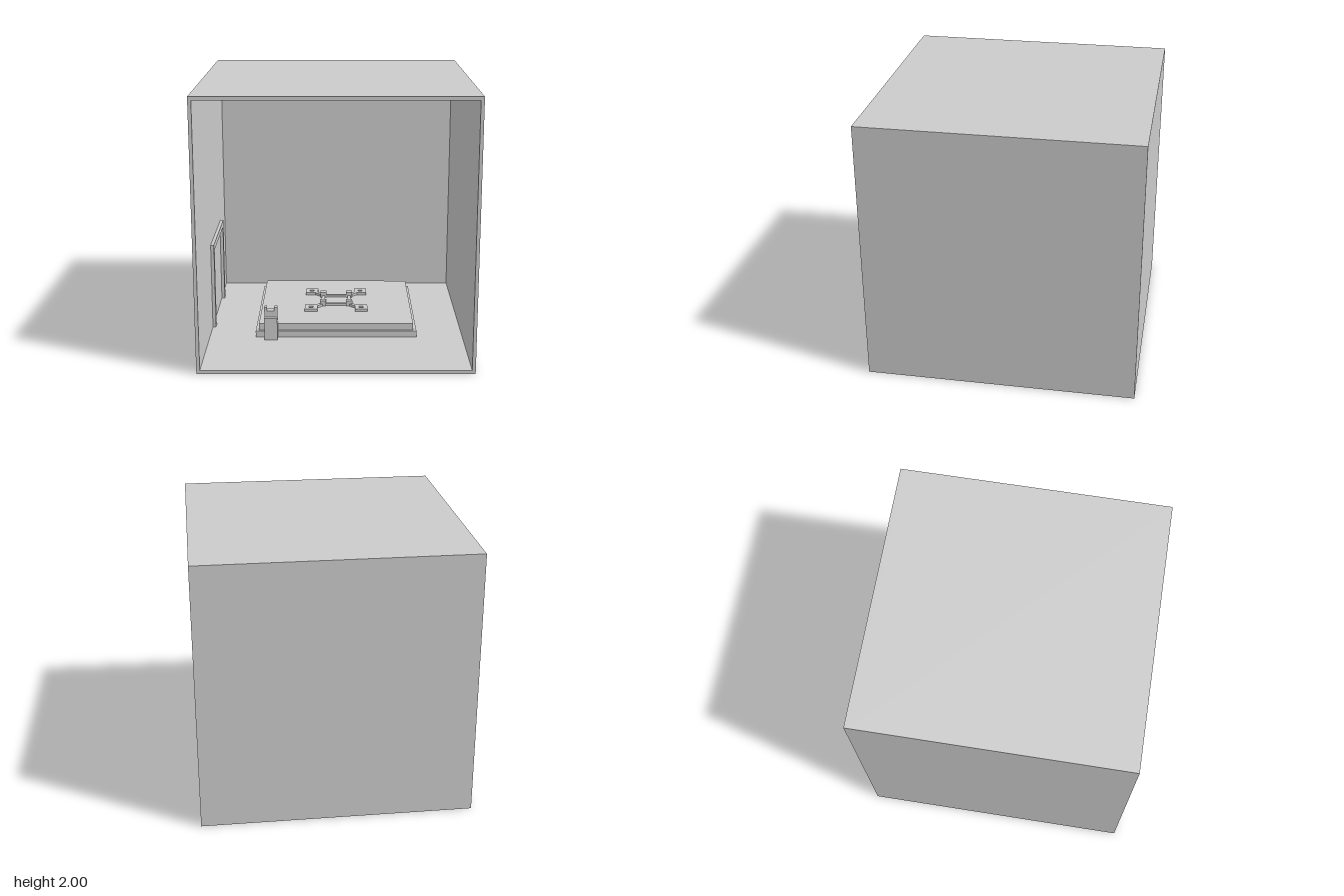
import * as THREE from 'three';

const material = new THREE.MeshStandardMaterial({ color: 0xcccccc });

function add(parent, name, geometry) {
  const mesh = new THREE.Mesh(geometry, material);
  mesh.name = name;
  parent.add(mesh);
  return mesh;
}

// Box given by its minimum and maximum on each axis
function block(parent, name, [x0, x1], [y0, y1], [z0, z1]) {
  const mesh = add(parent, name, new THREE.BoxGeometry(x1 - x0, y1 - y0, z1 - z0));
  mesh.position.set((x0 + x1) / 2, (y0 + y1) / 2, (z0 + z1) / 2);
  return mesh;
}

// Square frame centred on the origin, extruded along z
function squareFrame(outer, inner, depth) {
  const square = (Type, h) => new Type([[-h, -h], [h, -h], [h, h], [-h, h]].map(p => new THREE.Vector2(...p)));
  const shape = square(THREE.Shape, outer / 2);
  shape.holes.push(square(THREE.Path, inner / 2));
  return new THREE.ExtrudeGeometry(shape, { depth, bevelEnabled: false });
}

export function createModel() {
  const model = new THREE.Group();
  model.name = 'room';
  const t = 0.025;

  // Room shell, open at the front
  const walls = add(model, 'wallsFloorAndCeiling', squareFrame(2, 2 - 2 * t, 2 - t));
  walls.position.set(0, 1, -1 + t);
  block(model, 'backWall', [-1, 1], [0, 2], [-1, -1 + t]);

  // Door frame on the side wall
  const door = new THREE.Group();
  door.name = 'doorFrame';
  model.add(door);
  const dx = [-1 + t, -0.95];
  block(door, 'frontDoorPost', dx, [t, 0.65], [0.075, 0.125]);
  block(door, 'backDoorPost', dx, [t, 0.65], [-0.625, -0.575]);
  block(door, 'doorLintel', dx, [0.65, 0.7], [-0.625, 0.125]);

  // Stepped platform
  block(model, 'platformStep', [-0.62, 0.62], [t, 0.075], [-0.745, 0.345]);
  block(model, 'platformTop', [-0.595, 0.595], [0.075, 0.13], [-0.72, 0.32]);

  // Control post with a notched head
  block(model, 'controlPost', [-0.55, -0.45], [t, 0.2], [0.32, 0.4]);
  const head = new THREE.Shape([
    [-0.55, 0.2], [-0.45, 0.2], [-0.45, 0.277], [-0.475, 0.277],
    [-0.475, 0.25], [-0.53, 0.25], [-0.53, 0.277], [-0.55, 0.277],
  ].map(p => new THREE.Vector2(...p)));
  add(model, 'controlHead', new THREE.ExtrudeGeometry(head, { depth: 0.05, bevelEnabled: false })).position.z = 0.32;

  // Four-armed device resting on the platform
  const device = new THREE.Group();
  device.name = 'device';
  device.position.set(0, 0.13, -0.2);
  model.add(device);
  for (const s of [-1, 1]) {
    const c = s * 0.105;
    block(device, 'crossRail', [-0.08, 0.08], [0, 0.02], [c - 0.013, c + 0.013]);
    block(device, 'sideRail', [c - 0.013, c + 0.013], [0, 0.02], [-0.08, 0.08]);
    for (const q of [-1, 1]) {
      const d = q * 0.105;
      block(device, 'cornerBlock', [c - 0.025, c + 0.025], [0, 0.045], [d - 0.025, d + 0.025]);
      const arm = add(device, 'diagonalArm', new THREE.BoxGeometry(0.07, 0.019, 0.03));
      arm.position.set(s * 0.14, 0.0095, q * 0.14);
      arm.rotation.y = -s * q * Math.PI / 4;
      const pad = add(device, 'footPad', squareFrame(0.1, 0.034, 0.02));
      pad.rotation.x = -Math.PI / 2;
      pad.position.set(s * 0.2, 0, q * 0.2);
    }
  }
  return model;
}
